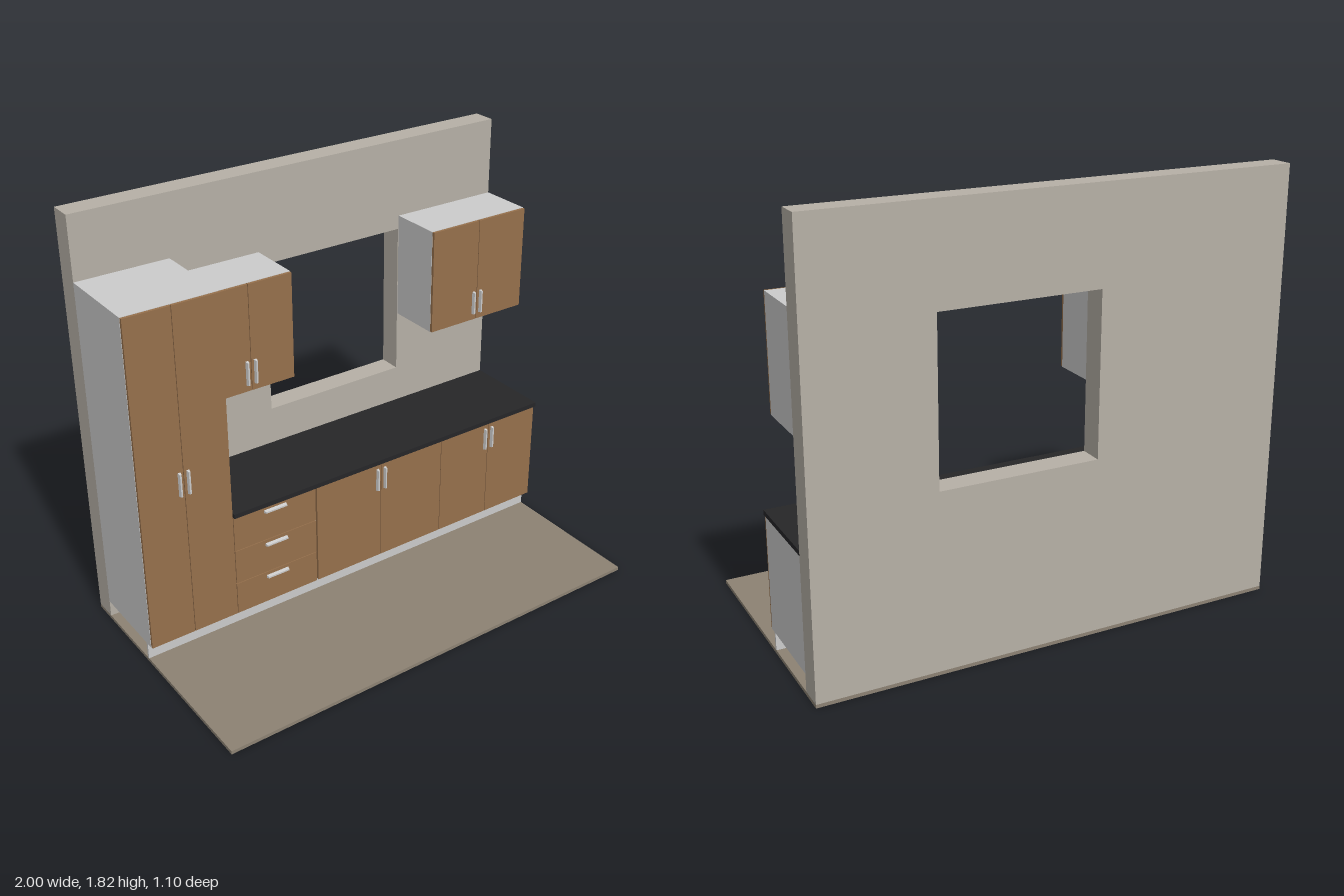
import * as THREE from 'three';

const mat = (color) => new THREE.MeshStandardMaterial({ color });
const M = {
  body: mat(0xcccccc), metal: mat(0xcccccc), wood: mat(0x96704c),
  counter: mat(0x262628), wall: mat(0xb6b0a6), floor: mat(0x8c8273),
};

// Box given by its extents on each axis
function box(parent, name, m, [x0, x1], [y0, y1], [z0, z1]) {
  const mesh = new THREE.Mesh(new THREE.BoxGeometry(x1 - x0, y1 - y0, z1 - z0), m);
  mesh.position.set((x0 + x1) / 2, (y0 + y1) / 2, (z0 + z1) / 2);
  mesh.name = name;
  parent.add(mesh);
  return mesh;
}

// Handle bar with a slightly narrowed front face
function handle(parent, x, y, z, w, h) {
  const d = 0.014, inset = 0.003;
  const mesh = box(parent, 'handle', M.metal, [x - w / 2, x + w / 2], [y - h / 2, y + h / 2], [z, z + d]);
  const p = mesh.geometry.attributes.position;
  for (let i = 0; i < p.count; i++) {
    if (p.getZ(i) < 0) continue;
    p.setX(i, p.getX(i) - Math.sign(p.getX(i)) * inset);
    p.setY(i, p.getY(i) - Math.sign(p.getY(i)) * inset);
  }
  mesh.geometry.computeVertexNormals();
}

const BACK = -0.45, DOOR = 0.012, GAP = 0.0015;

// Carcass with a pair of doors and two upright handles beside the seam
function doorCabinet(name, [x0, x1], [y0, y1], front, handleY, seam = (x0 + x1) / 2) {
  const g = new THREE.Group();
  g.name = name;
  box(g, 'carcass', M.body, [x0, x1], [y0, y1], [BACK, front - DOOR]);
  for (const [a, b] of [[x0, seam], [seam, x1]]) {
    box(g, 'door', M.wood, [a + GAP, b - GAP], [y0 + GAP, y1 - GAP], [front - DOOR, front]);
  }
  for (const s of [-1, 1]) handle(g, seam + s * 0.019, handleY, front, 0.013, 0.106);
  return g;
}

// Carcass with three drawer fronts and level handles
function drawerCabinet([x0, x1], levels, front) {
  const g = new THREE.Group();
  g.name = 'drawerCabinet';
  box(g, 'carcass', M.body, [x0, x1], [levels[0], levels[levels.length - 1]], [BACK, front - DOOR]);
  for (let i = 0; i < levels.length - 1; i++) {
    box(g, 'drawerFront', M.wood, [x0 + GAP, x1 - 0.006], [levels[i] + GAP, levels[i + 1] - GAP], [front - DOOR, front]);
    handle(g, (x0 + x1) / 2 - 0.003, levels[i + 1] - 0.023, front, 0.106, 0.013);
  }
  return g;
}

// Wall panel with the window opening cut through
function makeWall() {
  const rect = (T, x0, y0, x1, y1) => new T([[x0, y0], [x1, y0], [x1, y1], [x0, y1]].map((p) => new THREE.Vector2(...p)));
  const shape = rect(THREE.Shape, -1, 0.015, 1, 1.815);
  shape.holes.push(rect(THREE.Path, -0.17, 0.75, 0.497, 1.42));
  const wall = new THREE.Mesh(new THREE.ExtrudeGeometry(shape, { depth: 0.1, bevelEnabled: false }), M.wall);
  wall.position.z = -0.55;
  wall.name = 'wall';
  return wall;
}

export function createModel() {
  const kitchen = new THREE.Group();
  kitchen.name = 'kitchen';

  // Room
  box(kitchen, 'floor', M.floor, [-1, 1], [0, 0.015], [-0.55, 0.55]);
  kitchen.add(makeWall());

  // Plinth and worktop
  box(kitchen, 'plinth', M.body, [-1, 1], [0.015, 0.09], [-0.115, -0.105]);
  box(kitchen, 'worktop', M.counter, [-0.6, 1], [0.565, 0.585], [BACK, -0.052]);

  // Floor-standing cabinets
  const base = [0.09, 0.565], front = -0.064;
  kitchen.add(
    doorCabinet('tallCabinet', [-1, -0.6], [0.09, 1.55], front, 0.803, -0.803),
    drawerCabinet([-0.6, -0.2], [0.09, 0.24, 0.4, 0.562], front),
    doorCabinet('sinkCabinet', [-0.2, 0.46], base, front, 0.485, 0.132),
    doorCabinet('baseCabinet', [0.46, 1], base, front, 0.485, 0.73),
  );

  // Wall cabinets
  const upper = [1.02, 1.48];
  kitchen.add(
    doorCabinet('leftWallCabinet', [-0.6, -0.203], upper, -0.204, 1.102, -0.403),
    doorCabinet('rightWallCabinet', [0.5, 1], upper, -0.204, 1.102, 0.747),
  );
  return kitchen;
}
